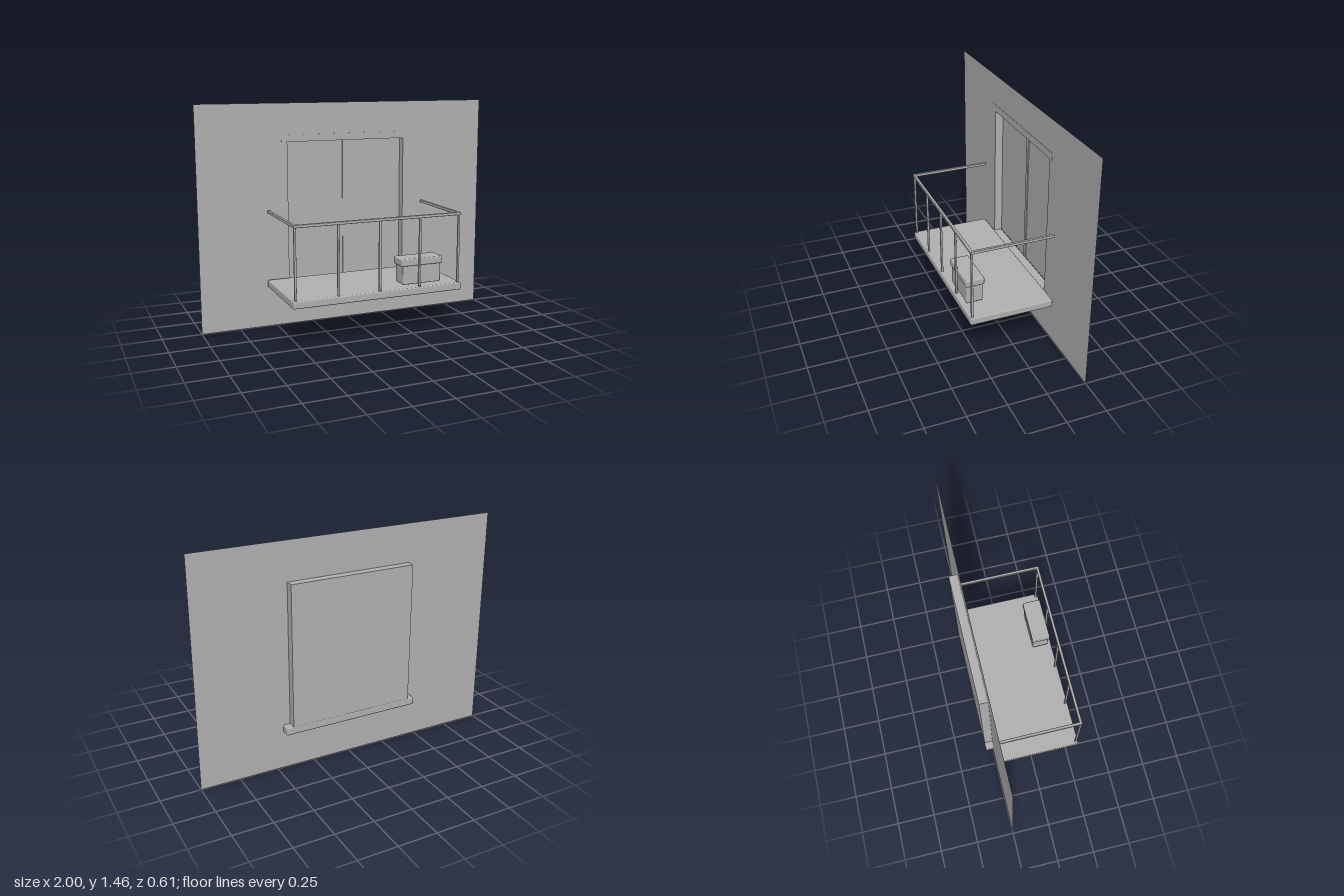
import * as THREE from 'three';
import { RoundedBoxGeometry } from 'three/addons/geometries/RoundedBoxGeometry.js';

export function createModel() {
  const model = new THREE.Group();
  model.name = 'balcony';
  const grey = new THREE.MeshStandardMaterial({ color: 0xb0b0b0, side: THREE.DoubleSide });
  grey.name = 'plain grey';

  const add = (name, geometry, parent = model) => {
    const mesh = new THREE.Mesh(geometry, grey);
    mesh.name = name;
    parent.add(mesh);
    return mesh;
  };
  // Box given by its limits on each axis, with softened edges if r > 0
  const box = (name, [x0, x1], [y0, y1], [z0, z1], r = 0, parent = model) => {
    const size = [x1 - x0, y1 - y0, z1 - z0];
    const g = r ? new RoundedBoxGeometry(...size, 2, r) : new THREE.BoxGeometry(...size);
    g.translate((x0 + x1) / 2, (y0 + y1) / 2, (z0 + z1) / 2);
    return add(name, g, parent);
  };
  const rectangle = (Type, x0, x1, y0, y1) => new Type([
    new THREE.Vector2(x0, y0), new THREE.Vector2(x1, y0),
    new THREE.Vector2(x1, y1), new THREE.Vector2(x0, y1),
  ]);

  const wallZ = -0.25, paneZ = -0.304;
  const doorX = 0.41, doorBottom = 0.295, doorTop = 1.207;

  // Thin wall with the door opening
  const wall = rectangle(THREE.Shape, -1, 1, 0, 1.455);
  wall.holes.push(rectangle(THREE.Path, -doorX, doorX, doorBottom, doorTop));
  add('wall', new THREE.ShapeGeometry(wall)).position.z = wallZ;

  // Recessed doorway: reveals on both sides and top, pane at the back
  const door = new THREE.Group();
  door.name = 'doorway';
  model.add(door);
  const depth = wallZ - paneZ, height = doorTop - doorBottom;
  const midY = (doorTop + doorBottom) / 2, midZ = (wallZ + paneZ) / 2;
  for (const s of [-1, 1]) {
    const reveal = add('sideReveal', new THREE.PlaneGeometry(depth, height), door);
    reveal.rotation.y = -s * Math.PI / 2;
    reveal.position.set(s * doorX, midY, midZ);
  }
  const topReveal = add('topReveal', new THREE.PlaneGeometry(2 * doorX, depth), door);
  topReveal.rotation.x = Math.PI / 2;
  topReveal.position.set(0, doorTop, midZ);
  add('doorPane', new THREE.PlaneGeometry(2 * doorX, height), door).position.set(0, midY, paneZ);
  box('doorMullion', [-0.013, 0.013], [doorBottom, doorTop], [paneZ, paneZ + 0.006], 0, door);
  box('doorHeader', [-0.45, 0.445], [doorTop, 1.253], [wallZ, wallZ + 0.002], 0, door);

  // Sill and floor slab
  box('doorSill', [-0.455, 0.455], [0.247, 0.297], [-0.305, -0.147], 0.008);
  box('floorSlab', [-0.565, 0.565], [0.27, 0.318], [-0.235, 0.306], 0.008);

  // Railing: front rail, two side rails, five posts
  const railing = new THREE.Group();
  railing.name = 'railing';
  model.add(railing);
  const railY = [0.757, 0.776];
  box('frontRail', [-0.555, 0.555], railY, [0.282, 0.3], 0.004, railing);
  for (const s of [-1, 1]) {
    box('sideRail', [s * 0.547 - 0.009, s * 0.547 + 0.009], railY, [-0.235, 0.3], 0.004, railing);
  }
  for (let i = -2; i <= 2; i++) {
    const x = i * 0.273;
    box('railPost', [x - 0.007, x + 0.007], [0.315, 0.76], [0.284, 0.297], 0.002, railing);
  }

  // Planter box with an overhanging rim
  const planter = new THREE.Group();
  planter.name = 'planter';
  model.add(planter);
  box('planterBody', [0.163, 0.426], [0.335, 0.458], [0.173, 0.281], 0.007, planter);
  box('planterRim', [0.15, 0.437], [0.454, 0.501], [0.166, 0.287], 0.008, planter);

  return model;
}
